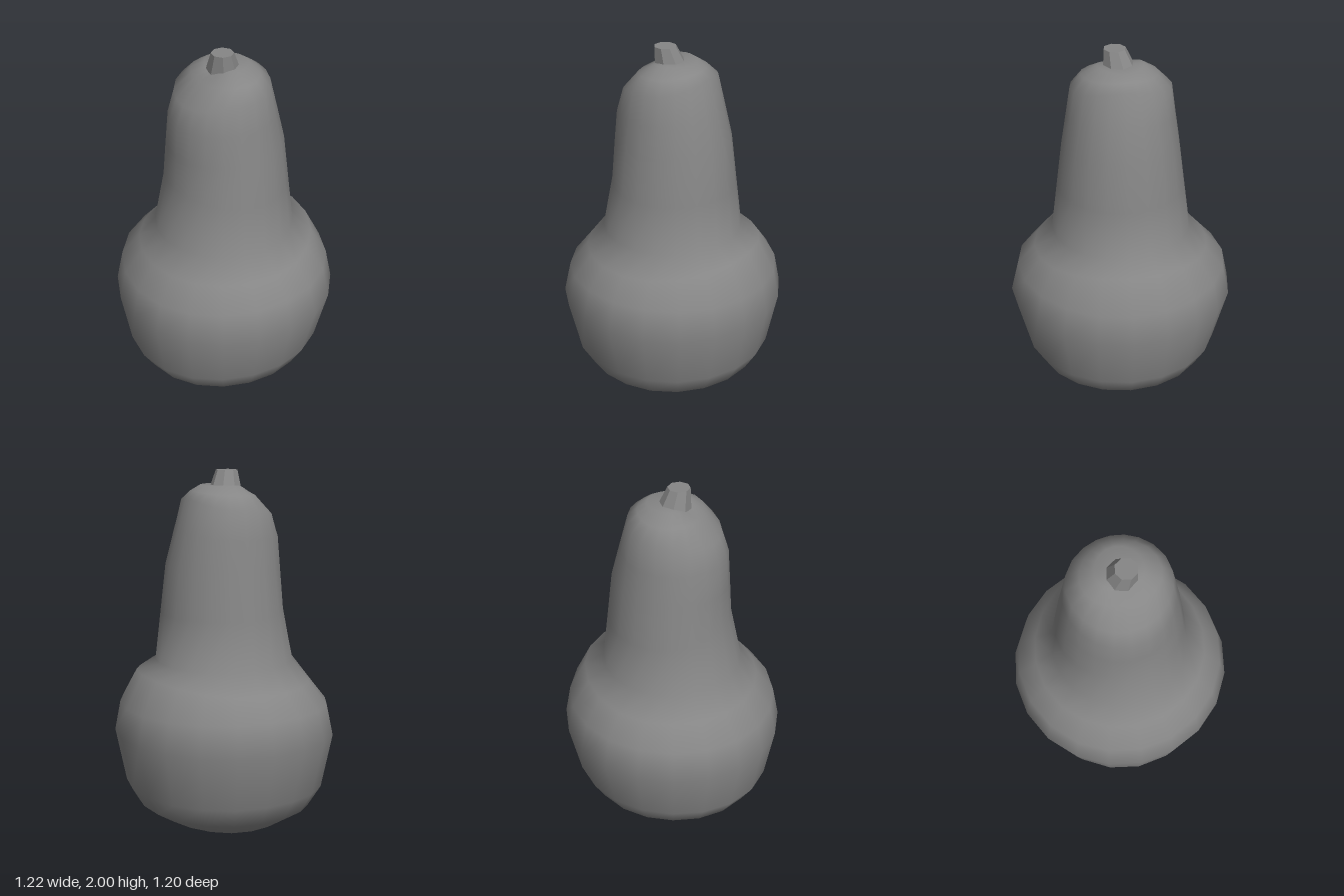
import * as THREE from 'three';
import { mergeVertices } from 'three/addons/utils/BufferGeometryUtils.js';

const SIDES = 20;
const COLOR = 0x868686;

// Each ring: [height, radius] towards +x, +z, -x and -z
const rings = [
  [[0.005, 0], [0.005, 0], [0.005, 0], [0.005, 0]],
  [[0.04, 0.22], [0.04, 0.19], [0.06, 0.20], [0.06, 0.25]],
  [[0.10, 0.345], [0.10, 0.34], [0.10, 0.35], [0.13, 0.37]],
  [[0.185, 0.47], [0.16, 0.48], [0.185, 0.47], [0.20, 0.48]],
  [[0.30, 0.535], [0.27, 0.55], [0.30, 0.535], [0.31, 0.545]],
  [[0.60, 0.612], [0.57, 0.60], [0.60, 0.612], [0.60, 0.60]],
  [[0.77, 0.57], [0.74, 0.565], [0.77, 0.575], [0.76, 0.57]],
  [[0.88, 0.475], [0.87, 0.465], [0.88, 0.475], [0.94, 0.48]],
  [[0.99, 0.375], [0.99, 0.375], [0.99, 0.378], [0.99, 0.375]],
  [[1.25, 0.342], [1.29, 0.31], [1.25, 0.343], [1.25, 0.345]],
  [[1.50, 0.31], [1.48, 0.30], [1.50, 0.31], [1.51, 0.315]],
  [[1.66, 0.284], [1.65, 0.29], [1.66, 0.286], [1.69, 0.267]],
  [[1.81, 0.26], [1.76, 0.25], [1.81, 0.265], [1.86, 0.22]],
  [[1.88, 0.205], [1.87, 0.15], [1.88, 0.195], [1.895, 0.175]],
  [[1.925, 0.12], [1.90, 0.08], [1.928, 0.12], [1.925, 0.13]],
  [[1.92, 0], [1.92, 0], [1.92, 0], [1.92, 0]],
];

// Blend the four profiles around each ring
function bodyGeometry() {
  const positions = [], index = [];
  rings.forEach(([px, pz, nx, nz]) => {
    for (let i = 0; i < SIDES; i++) {
      const a = (i / SIDES) * Math.PI * 2;
      const s = Math.sin(a), c = Math.cos(a);
      const side = s > 0 ? px : nx, face = c > 0 ? pz : nz;
      const y = side[0] * s * s + face[0] * c * c;
      const r = side[1] * s * s + face[1] * c * c;
      positions.push(r * s, y, r * c);
    }
  });
  // Quads between rings, single triangles at the two poles
  const last = rings.length - 2;
  for (let j = 0; j <= last; j++) {
    for (let i = 0; i < SIDES; i++) {
      const a = j * SIDES + i, b = j * SIDES + (i + 1) % SIDES;
      if (j > 0) index.push(a, b, b + SIDES);
      if (j < last) index.push(a, b + SIDES, a + SIDES);
    }
  }
  const geo = new THREE.BufferGeometry();
  geo.setAttribute('position', new THREE.Float32BufferAttribute(positions, 3));
  geo.setIndex(index);
  const welded = mergeVertices(geo, 1e-4);
  welded.computeVertexNormals();
  return welded;
}

// Eight-sided stalk leaning towards the front left
function stemGeometry() {
  const geo = new THREE.CylinderGeometry(0.058, 0.092, 0.12, 8);
  geo.rotateY(0.2);
  const p = geo.attributes.position;
  for (let i = 0; i < p.count; i++) {
    const t = (p.getY(i) + 0.06) / 0.12;
    p.setXYZ(i, p.getX(i) + 0.026 * t, 1.88 + 0.12 * t, p.getZ(i) + 0.005 + 0.022 * t);
  }
  return geo;
}

export function createModel() {
  const group = new THREE.Group();
  group.name = 'squash';

  const body = new THREE.Mesh(bodyGeometry(), new THREE.MeshStandardMaterial({ color: COLOR }));
  body.name = 'body';

  const stem = new THREE.Mesh(stemGeometry(), new THREE.MeshStandardMaterial({ color: COLOR, flatShading: true }));
  stem.name = 'stem';

  group.add(body, stem);
  return group;
}
